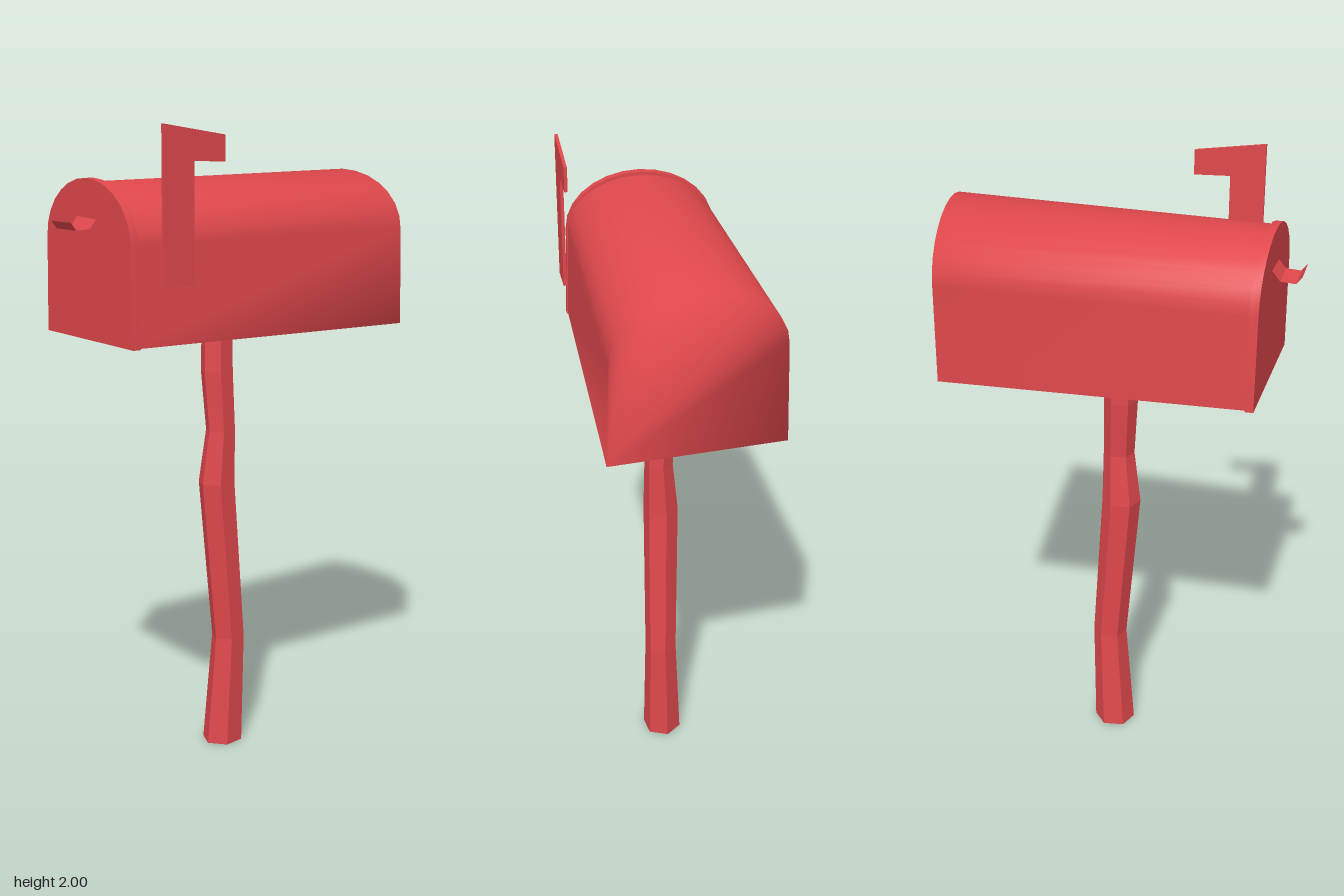
import * as THREE from 'three';
import { toCreasedNormals } from 'three/addons/utils/BufferGeometryUtils.js';

const red = (opts = {}) => new THREE.MeshStandardMaterial({ color: 0xe0484c, ...opts });

function add(group, name, geometry, material) {
  const mesh = new THREE.Mesh(geometry, material);
  mesh.name = name;
  group.add(mesh);
}

// Geometry from a list of Vector3 and triangle indices
function build(points, index) {
  const g = new THREE.BufferGeometry().setFromPoints(points);
  g.setIndex(index);
  g.computeVertexNormals();
  return g;
}

// Arched outline running from the +z foot over the top to the -z foot;
// x leans with z so that the ends are slightly skewed
function arch({ x, skew, zMid, half, bottom, shoulder, top }) {
  const pts = [];
  const put = (z, y) => pts.push(new THREE.Vector3(x + skew * z, y, zMid + z));
  const inner = half * 0.965;
  put(half, bottom);
  for (let i = 0; i <= 14; i++) {
    const a = (Math.PI * i) / 14;
    put(inner * Math.cos(a), shoulder + (top - shoulder) * Math.sin(a));
  }
  put(-half, bottom);
  return pts;
}

// Skin between two arches, with optional end caps
function tunnel(a, b, capA, capB) {
  const n = a.length, index = [];
  for (let i = 0; i < n - 1; i++) {
    index.push(i, n + i, n + i + 1, i, n + i + 1, i + 1);
    if (i > 0 && capA) index.push(0, i, i + 1);
    if (i > 0 && capB) index.push(n, n + i + 1, n + i);
  }
  return build([...a, ...b], index);
}

export function createModel() {
  const group = new THREE.Group();

  // Box: a skewed arched tunnel, softly shaded into its closed far end
  const near = arch({ x: -0.455, skew: -0.03, zMid: -0.007, half: 0.24, bottom: 1.38, shoulder: 1.665, top: 1.835 });
  const far = arch({ x: 0.518, skew: 0.105, zMid: -0.005, half: 0.26, bottom: 1.37, shoulder: 1.67, top: 1.848 });
  add(group, 'box', tunnel(near, far, false, true), red({ side: THREE.DoubleSide }));

  // Floor, set just inside the walls
  const last = near.length - 1;
  const floor = [near[0], near[last], far[last], far[0]].map(
    (p) => new THREE.Vector3(p.x * 0.99, p.y + 0.006, p.z * 0.99));
  add(group, 'floor', build(floor, [0, 1, 2, 0, 2, 3]), red({ side: THREE.DoubleSide }));

  // Door: a shallow lid a little larger than the box
  const lid = { skew: -0.03, zMid: -0.007, half: 0.244, bottom: 1.377, shoulder: 1.665, top: 1.846 };
  const door = tunnel(arch({ ...lid, x: -0.462 }), arch({ ...lid, x: -0.437 }), true, true);
  add(group, 'door', toCreasedNormals(door, 0.6), red());

  // Door handle: a bent strip
  const bend = [[-0.46, 1.735], [-0.485, 1.705], [-0.53, 1.702], [-0.548, 1.725]];
  const strip = [], faces = [];
  bend.forEach(([x, y], i) => {
    strip.push(new THREE.Vector3(x, y, 0.045), new THREE.Vector3(x, y, -0.062));
    const k = i * 2;
    if (i) faces.push(k - 2, k - 1, k, k - 1, k + 1, k);
  });
  add(group, 'handle', build(strip, faces), red({ side: THREE.DoubleSide, flatShading: true }));

  // Signal flag: a thin plate
  const outline = [[-0.38, 1.55], [-0.275, 1.55], [-0.275, 1.897], [-0.165, 1.893], [-0.165, 1.968], [-0.38, 2.0]];
  const flag = new THREE.ExtrudeGeometry(
    new THREE.Shape(outline.map(([x, y]) => new THREE.Vector2(x, y))),
    { depth: 0.01, bevelEnabled: false });
  flag.translate(0, 0, 0.253);
  add(group, 'flag', flag, red());

  // Post: crooked six-sided pole; rows are y, x min, x max, z min, z max
  const rings = [
    [0, -0.047, 0.086, -0.052, 0.068],
    [0.36, -0.018, 0.092, -0.034, 0.064],
    [0.88, -0.065, 0.058, -0.046, 0.06],
    [1.05, -0.043, 0.055, -0.028, 0.058],
    [1.24, -0.055, 0.051, -0.042, 0.054],
    [1.39, -0.05, 0.05, -0.042, 0.05],
  ];
  const sides = 6, pole = [], poleFaces = [];
  rings.forEach(([y, x0, x1, z0, z1], r) => {
    for (let s = 0; s < sides; s++) {
      const a = 0.9 + (s / sides) * Math.PI * 2;
      pole.push(new THREE.Vector3(
        (x0 + x1) / 2 + ((x1 - x0) / 2) * Math.cos(a), y,
        (z0 + z1) / 2 + ((z1 - z0) / 2) * Math.sin(a) * 1.05));
      if (r) {
        const p = r * sides + s, q = r * sides + ((s + 1) % sides);
        poleFaces.push(p - sides, p, q, p - sides, q, q - sides);
      }
    }
  });
  for (let s = 1; s < sides - 1; s++) poleFaces.push(0, s, s + 1);
  add(group, 'post', build(pole, poleFaces), red({ flatShading: true }));

  return group;
}
